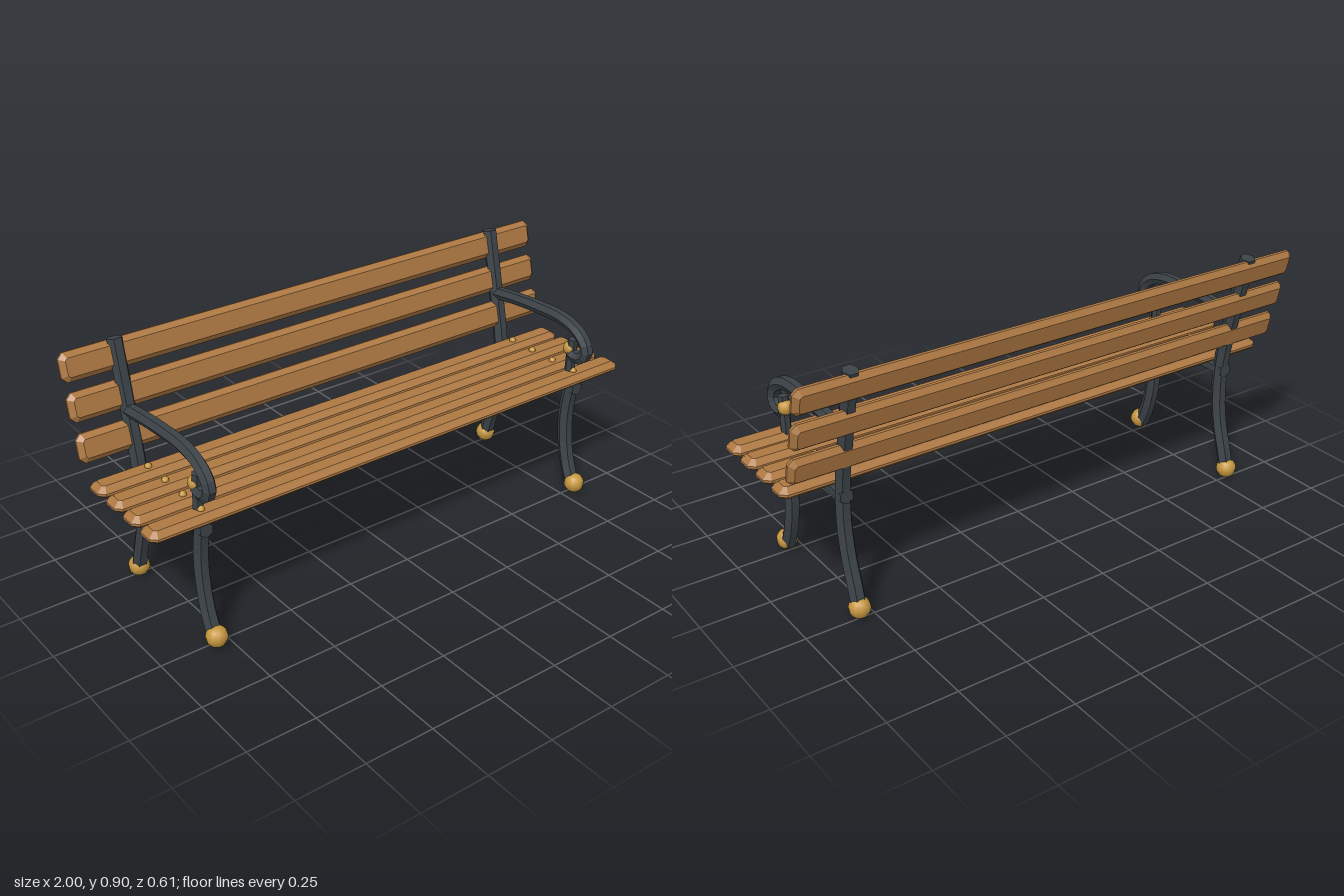
import * as THREE from 'three';

const wood = new THREE.MeshStandardMaterial({ name: 'wood', color: 0xad7842 });
const iron = new THREE.MeshStandardMaterial({ name: 'castIron', color: 0x3b4247 });
const brass = new THREE.MeshStandardMaterial({ name: 'brass', color: 0xc6973f });

function add(parent, name, geometry, material, x = 0, y = 0, z = 0) {
  const mesh = new THREE.Mesh(geometry, material);
  mesh.name = name;
  mesh.position.set(x, y, z);
  parent.add(mesh);
  return mesh;
}

// Hexagonal rod swept along a path of [z, y] points in the side plane
function rod(points, radius, steps) {
  const path = new THREE.CatmullRomCurve3(points.map(([z, y]) => new THREE.Vector3(0, y, z)));
  const hexagon = new THREE.Shape();
  for (let i = 0; i < 6; i++) {
    const a = (i * Math.PI) / 3;
    const x = radius * Math.cos(a), y = radius * Math.sin(a);
    if (i === 0) hexagon.moveTo(x, y);
    else hexagon.lineTo(x, y);
  }
  hexagon.closePath();
  return new THREE.ExtrudeGeometry(hexagon, { steps, extrudePath: path, bevelEnabled: false });
}

// Plank with clipped corners and a wide chamfer on both faces
function plank(length, width, thickness, bevel) {
  const w = length / 2 - bevel, h = width / 2 - bevel, c = 0.008;
  const shape = new THREE.Shape([
    [w - c, -h], [w, -h + c], [w, h - c], [w - c, h],
    [-w + c, h], [-w, h - c], [-w, -h + c], [-w + c, -h],
  ].map(([x, y]) => new THREE.Vector2(x, y)));
  const depth = 0.009;
  const geometry = new THREE.ExtrudeGeometry(shape, {
    depth,
    bevelSize: bevel,
    bevelThickness: (thickness - depth) / 2,
    bevelSegments: 1,
  });
  return geometry.center();
}

// One cast side frame with its brass fittings
function sideFrame(name, x, slatPositions) {
  const frame = new THREE.Group();
  frame.name = name;
  frame.position.x = x;

  add(frame, 'backPost', rod([
    [-0.243, 0.03], [-0.222, 0.11], [-0.193, 0.2], [-0.176, 0.3],
    [-0.174, 0.39], [-0.184, 0.5], [-0.217, 0.65], [-0.275, 0.9],
  ], 0.028, 20), iron);
  add(frame, 'frontLeg', rod([
    [0.257, 0.03], [0.224, 0.11], [0.203, 0.2], [0.196, 0.3], [0.203, 0.38], [0.215, 0.44],
  ], 0.028, 12), iron);
  add(frame, 'seatRail', rod([[0.245, 0.432], [-0.203, 0.432]], 0.026, 1), iron);
  add(frame, 'armPost', rod([[0.2, 0.44], [0.2, 0.53], [0.206, 0.622]], 0.019, 3), iron);
  add(frame, 'armRest', rod([
    [-0.222, 0.662], [-0.1, 0.676], [0.02, 0.684], [0.14, 0.684], [0.215, 0.665],
    [0.262, 0.63], [0.277, 0.595], [0.262, 0.567], [0.235, 0.556], [0.2, 0.566],
  ], 0.0245, 26), iron);

  const foot = new THREE.SphereGeometry(0.038, 10, 8);
  add(frame, 'frontFoot', foot, brass, 0, 0.04, 0.267);
  add(frame, 'backFoot', foot, brass, 0, 0.04, -0.244);
  add(frame, 'armKnob', new THREE.SphereGeometry(0.027, 10, 8), brass, 0, 0.583, 0.194);

  const bolt = new THREE.SphereGeometry(0.013, 8, 6);
  for (const z of slatPositions) add(frame, 'seatBolt', bolt, brass, 0, 0.497, z);
  return frame;
}

export function createModel() {
  const bench = new THREE.Group();
  bench.name = 'parkBench';

  // Seat slats
  const seatZ = [0.217, 0.107, -0.003, -0.113];
  const seatPlank = plank(2, 0.094, 0.045, 0.022);
  for (const z of seatZ) {
    add(bench, 'seatSlat', seatPlank, wood, 0, 0.4725, z).rotation.x = -Math.PI / 2;
  }

  // Leaning backrest slats
  const backPlank = plank(2, 0.1, 0.043, 0.018);
  for (const [y, z] of [[0.583, -0.206], [0.715, -0.243], [0.845, -0.275]]) {
    add(bench, 'backSlat', backPlank, wood, 0, y, z).rotation.x = -0.24;
  }

  // Two matching side frames
  bench.add(sideFrame('leftFrame', 0.8, seatZ));
  bench.add(sideFrame('rightFrame', -0.8, seatZ));
  return bench;
}
